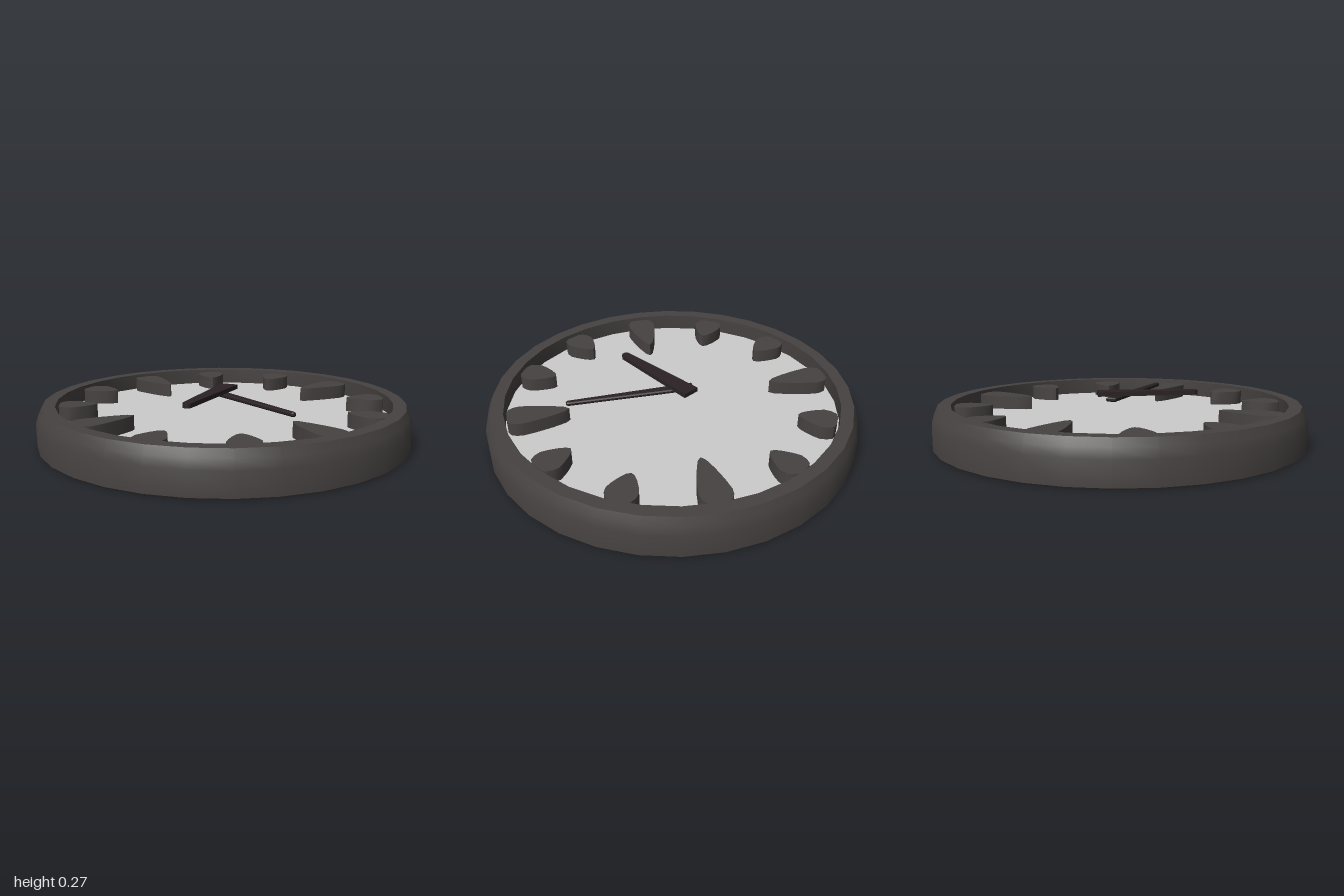
import * as THREE from 'three';
import { toCreasedNormals } from 'three/addons/utils/BufferGeometryUtils.js';

const SIDES = 32, DIAL_Y = 0.125, MARKER_TOP = 0.2;

const material = (color) => new THREE.MeshStandardMaterial({ color, side: THREE.DoubleSide });

function mesh(name, geometry, mat) {
  const m = new THREE.Mesh(geometry, mat);
  m.name = name;
  return m;
}

// Teardrop outline in the dial plane (y points to twelve o'clock), turned clockwise by angle
function markerOutline(tip, angle) {
  const wide = 0.81;
  const at = (f) => tip + (wide - tip) * f;
  const half = [[0.021, at(0.1)], [0.044, at(0.36)], [0.066, at(0.7)],
    [0.08, wide], [0.076, 0.845], [0.062, 0.873], [0.035, 0.885]];
  const mirrored = half.map(([x, y]) => [-x, y]).reverse();
  const centre = new THREE.Vector2();
  return [[0, tip], ...half, ...mirrored]
    .map(([x, y]) => new THREE.Vector2(x, y).rotateAround(centre, -angle));
}

// Upright wall around an outline, open at top and bottom
function wallGeometry(outline, y0, y1) {
  const positions = [];
  outline.forEach((a, i) => {
    const b = outline[(i + 1) % outline.length];
    positions.push(a.x, y0, -a.y, b.x, y0, -b.y, b.x, y1, -b.y);
    positions.push(a.x, y0, -a.y, b.x, y1, -b.y, a.x, y1, -a.y);
  });
  const g = new THREE.BufferGeometry();
  g.setAttribute('position', new THREE.Float32BufferAttribute(positions, 3));
  return toCreasedNormals(g, 0.6);
}

// Flat face lying at height y
const flat = (shape, y) => new THREE.ShapeGeometry(shape).rotateX(-Math.PI / 2).translate(0, y, 0);

// Tapered hand with a rounded tip, pointing along -z
function handGeometry(tail, length, tailHalf, tipHalf, y, thickness, bevel) {
  const s = new THREE.Shape();
  s.moveTo(-tailHalf, -tail);
  s.lineTo(tailHalf, -tail);
  s.lineTo(tipHalf, length - tipHalf);
  s.absarc(0, length - tipHalf, tipHalf, 0, Math.PI, false);
  s.closePath();
  const g = new THREE.ExtrudeGeometry(s, {
    depth: thickness - 2 * bevel, curveSegments: 6, bevelEnabled: bevel > 0,
    bevelThickness: bevel, bevelSize: bevel, bevelOffset: -bevel, bevelSegments: 1,
  });
  return g.rotateX(-Math.PI / 2).translate(0, y + bevel, 0);
}

export function createModel() {
  const clock = new THREE.Group();
  clock.name = 'wallClock';
  const dark = material(0x464241), black = material(0x2a2224), grey = material(0xcccccc);

  // Rim: hollow ring with a sloped upper edge
  const profile = [[0.91, 0], [0.993, 0], [1, 0.008], [1, 0.13], [0.985, 0.175], [0.967, 0.215],
    [0.9, 0.215], [0.9, DIAL_Y], [0.91, 0]].map(([r, y]) => new THREE.Vector2(r, y));
  clock.add(mesh('rim', toCreasedNormals(new THREE.LatheGeometry(profile, SIDES), 0.6), dark));

  // Dial: thin disc, open beneath each hollow hour marker
  const dial = new THREE.Shape(Array.from({ length: SIDES }, (_, i) => {
    const a = (i / SIDES) * Math.PI * 2;
    return new THREE.Vector2(0.903 * Math.cos(a), 0.903 * Math.sin(a));
  }));

  // Hour markers: long ones at the quarters, short ones between
  const markers = new THREE.Group();
  markers.name = 'hourMarkers';
  for (let hour = 0; hour < 12; hour++) {
    const outline = markerOutline(hour % 3 ? 0.685 : 0.56, (hour * Math.PI) / 6);
    dial.holes.push(new THREE.Path(outline));
    const marker = new THREE.Group();
    marker.name = 'hourMarker';
    marker.add(mesh('markerWall', wallGeometry(outline, DIAL_Y, MARKER_TOP), dark));
    marker.add(mesh('markerTop', flat(new THREE.Shape(outline), MARKER_TOP), dark));
    markers.add(marker);
  }
  clock.add(mesh('dial', flat(dial, DIAL_Y), grey), markers);

  // Hands, set to half past seven
  const minute = mesh('minuteHand', handGeometry(0.115, 0.575, 0.028, 0.015, 0.221, 0.022, 0.006), black);
  minute.rotation.y = Math.PI;
  const hour = mesh('hourHand', handGeometry(0.11, 0.44, 0.048, 0.024, 0.245, 0.024, 0), black);
  hour.rotation.y = (Math.PI * 2) / 3;
  hour.position.set(0, 0, -0.025);
  clock.add(minute, hour);

  return clock;
}
